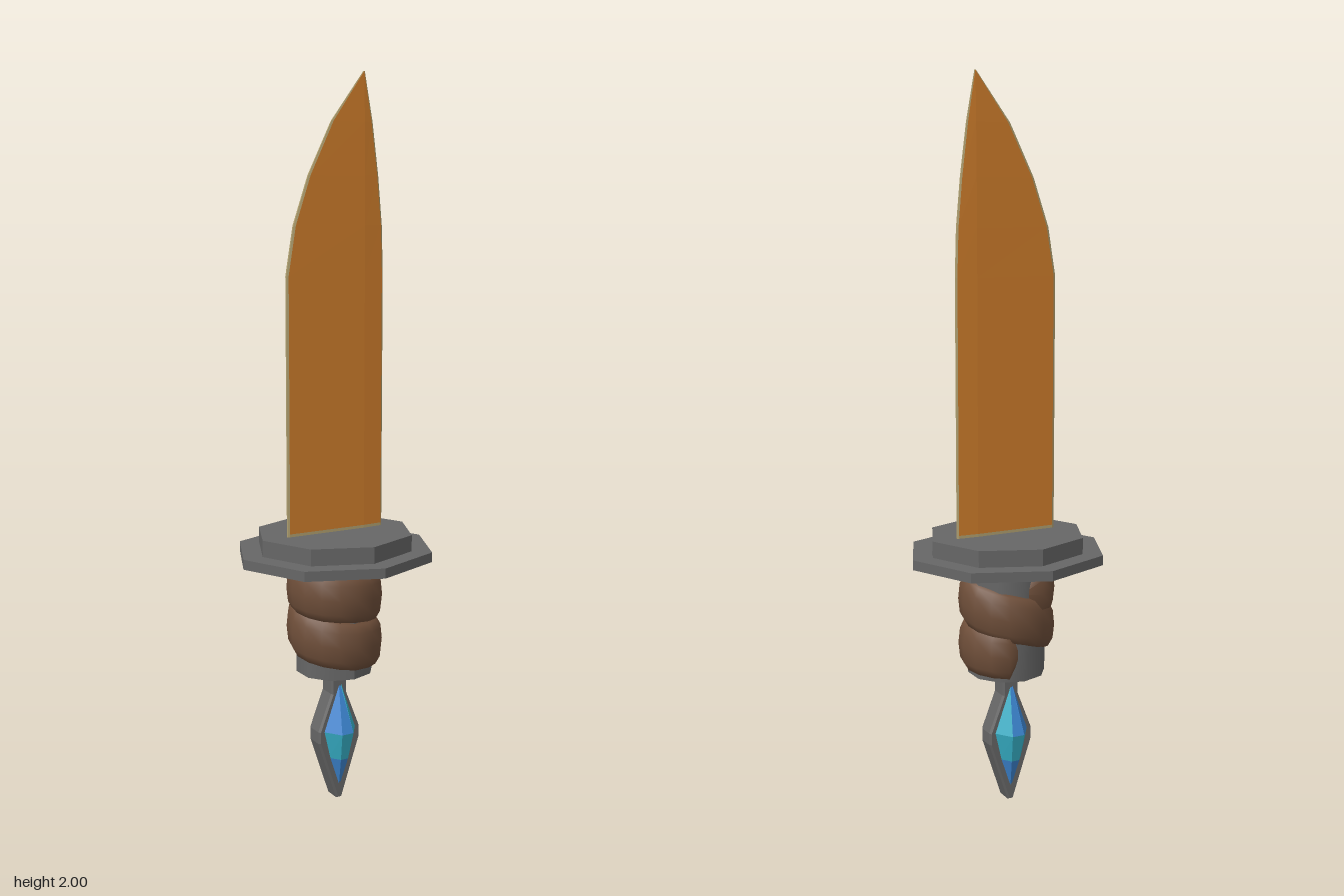
import * as THREE from 'three';
import { mergeVertices } from 'three/addons/utils/BufferGeometryUtils.js';

const mat = (name, color) => {
  const m = new THREE.MeshStandardMaterial({ color });
  m.name = name;
  return m;
};

// Flat-faced skin over a stack of closed cross-sections; pick(i, j) says which quads to keep.
// Each loop runs left to right along the front, then back along the rear.
function loft(rows, pick = () => true) {
  const pos = [];
  const tri = (...pts) => pts.forEach((p) => pos.push(...p));
  for (let i = 0; i < rows.length - 1; i++) {
    const n = rows[i].length;
    for (let j = 0; j < n; j++) {
      if (!pick(i, j)) continue;
      const k = (j + 1) % n;
      const [a, b, c, d] = [rows[i][j], rows[i][k], rows[i + 1][k], rows[i + 1][j]];
      tri(a, b, c);
      tri(a, c, d);
    }
  }
  const g = new THREE.BufferGeometry();
  g.setAttribute('position', new THREE.Float32BufferAttribute(pos, 3));
  g.computeVertexNormals();
  return g;
}

export function createModel() {
  const model = new THREE.Group();
  const bladeMat = mat('copper blade', 0xcd7c2b);
  const edgeMat = mat('pale edge', 0xb0a070);
  const metal = mat('dark grey metal', 0x666666);
  const leather = mat('brown leather', 0x6e4e39);
  const blue = mat('blue crystal', 0x3d86d2);
  const cyan = mat('cyan crystal', 0x36afc6);
  const add = (name, geometry, material, y = 0) => {
    const m = new THREE.Mesh(geometry, material);
    m.name = name;
    m.position.y = y;
    model.add(m);
    return m;
  };

  // Blade: height, cutting edge x, spine x, ridge half thickness
  const ridge = 0.09;
  const bladeRows = [
    [0.76, -0.147, 0.15, 0.008], [0.778, -0.147, 0.15, 0.008], [1.47, -0.147, 0.15, 0.008],
    [1.6, -0.125, 0.146, 0.008], [1.73, -0.08, 0.134, 0.007], [1.87, -0.01, 0.116, 0.005],
    [2.0, 0.088, 0.092, 0.002],
  ].map(([y, l, r, t]) => {
    const li = Math.min(l + 0.006, ridge), ri = Math.max(r - 0.004, ridge);
    const e = t * 0.35, s = t * 0.6;
    return [[l, e], [li, s], [ridge, t], [ri, s], [r, e],
      [r, -e], [ri, -s], [ridge, -t], [li, -s], [l, -e]].map(([x, z]) => [x, y, z]);
  });
  const isFace = (i, j) => i > 0 && [1, 2, 6, 7].includes(j);
  add('bladeFaces', loft(bladeRows, isFace), bladeMat);
  add('bladeEdge', loft(bladeRows, (i, j) => !isFace(i, j)), edgeMat);

  // Stepped octagonal guard
  const octagon = (r1, r2, h) =>
    new THREE.CylinderGeometry(r1, r2, h, 8).toNonIndexed().scale(1, 1, 0.945);
  add('guardPlate', octagon(0.28, 0.28, 0.027), metal, 0.7115);
  add('guardStep', octagon(0.222, 0.222, 0.045), metal, 0.7475);

  // Handle core
  add('handleCore', new THREE.CylinderGeometry(0.108, 0.108, 0.33, 10), metal, 0.54);
  model.children.forEach((m) => {
    if (m.material === metal) m.geometry.computeVertexNormals();
  });

  // Leather strip spiralling twice around the handle, starting at the back
  const heights = [0.617, 0.615, 0.602, 0.582, 0.545, 0.493, 0.467, 0.456, 0.45];
  const steps = 32, sides = 12, wrap = [];
  for (let i = 0; i <= steps; i++) {
    const u = (i / steps) * (heights.length - 1);
    const k = Math.min(Math.floor(u), heights.length - 2);
    const y = THREE.MathUtils.lerp(heights[k], heights[k + 1], u - k);
    const a = Math.PI + (i / steps) * Math.PI * 4;
    const end = i === 0 || i === steps ? 0.02 : 1;
    const loop = [];
    for (let j = 0; j < sides; j++) {
      const b = (j / sides) * Math.PI * 2;
      // boxy oval section
      const c = Math.cos(b), s = Math.sin(b);
      const r = 0.092 + 0.042 * end * Math.sign(c) * Math.abs(c) ** 0.75;
      loop.push([Math.sin(a) * r, y + 0.071 * end * Math.sign(s) * Math.abs(s) ** 0.8, Math.cos(a) * r]);
    }
    wrap.push(loop.reverse());
  }
  const wrapGeo = loft(wrap);
  wrapGeo.deleteAttribute('normal');
  const smoothWrap = mergeVertices(wrapGeo, 1e-5);
  smoothWrap.computeVertexNormals();
  leather.side = THREE.DoubleSide;
  add('handleWrap', smoothWrap, leather);

  // Pommel frame with a neck
  const half = [[0.006, 0.002], [0.063, 0.172], [0.063, 0.205], [0.022, 0.31], [0.022, 0.375]];
  const outline = [...half, ...half.map(([x, y]) => [-x, y]).reverse()];
  const frameShape = new THREE.Shape(outline.map(([x, y]) => new THREE.Vector2(x, y)));
  const frame = new THREE.ExtrudeGeometry(frameShape, {
    depth: 0.044, bevelEnabled: true, bevelSegments: 1, bevelSize: 0.004, bevelThickness: 0.008, bevelOffset: -0.002,
  });
  add('pommelFrame', frame.translate(0, 0, -0.022), metal);

  // Faceted crystal set through the frame
  const gemRows = [[0.03, 0.02, 0.024], [0.125, 0.64, 0.056], [0.205, 1, 0.075], [0.35, 0.05, 0.024]]
    .map(([y, w, z]) => [[-0.052, 0.026], [-0.018, 1], [0.018, 1], [0.052, 0.026],
      [0.052, -0.026], [0.018, -1], [-0.018, -1], [-0.052, -0.026]]
      .map(([x, d]) => [x * w, y, Math.abs(d) === 1 ? d * z : d]));
  const isCyan = (i, j) => i === 1 || (i === 2 && (j === 2 || j === 4));
  add('crystalBlueFacets', loft(gemRows, (i, j) => !isCyan(i, j)), blue);
  add('crystalCyanFacets', loft(gemRows, isCyan), cyan);

  return model;
}
